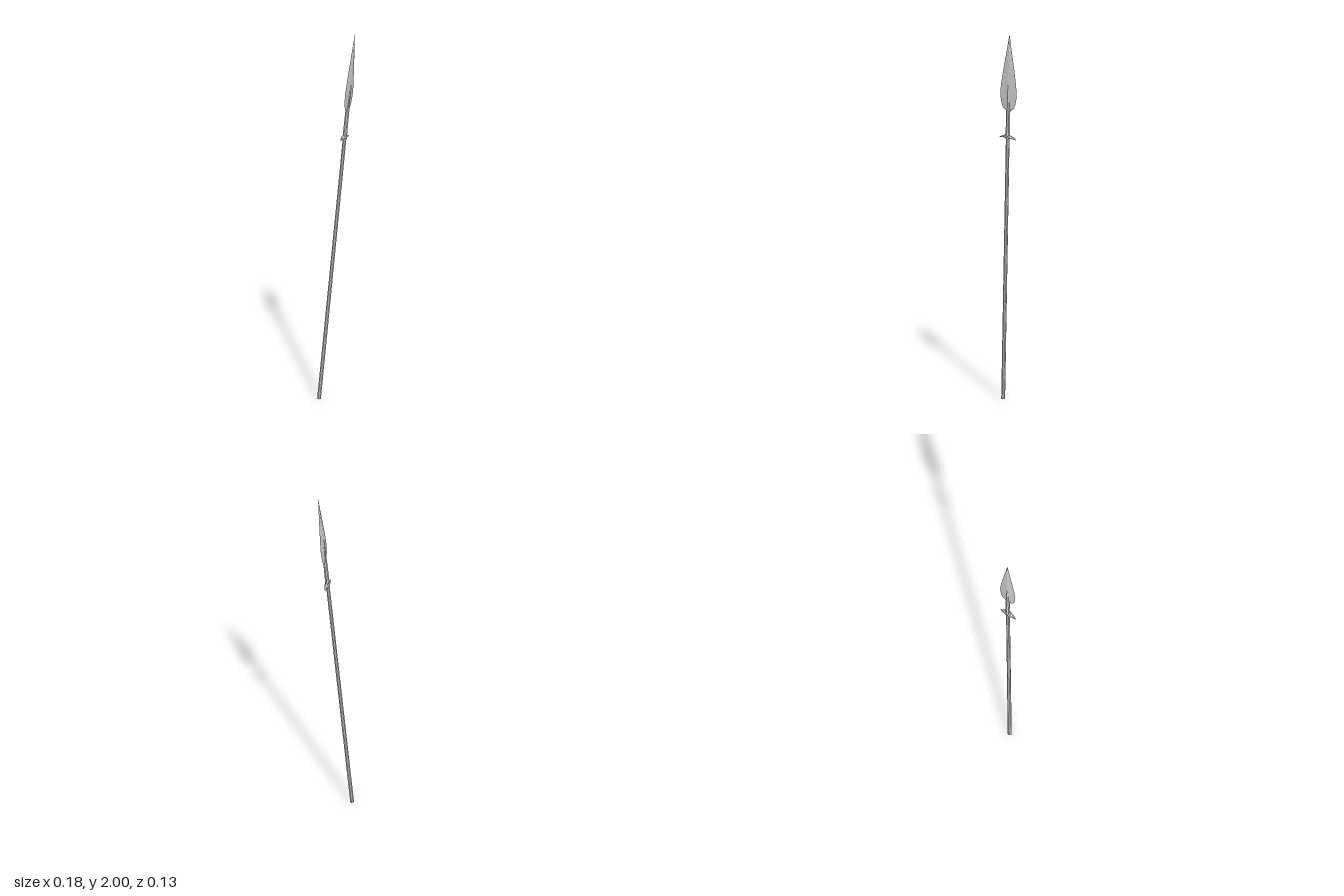
import * as THREE from 'three';

const material = new THREE.MeshStandardMaterial({ color: 0xcccccc, flatShading: true });

function addMesh(parent, name, geometry) {
  const mesh = new THREE.Mesh(geometry, material);
  mesh.name = name;
  parent.add(mesh);
  return mesh;
}

// Lofts a ring along y through rows of [y, half width (x), half depth (z), x offset]
function loft(rows, sides) {
  const geometry = new THREE.CylinderGeometry(1, 1, rows.length - 1, sides, rows.length - 1);
  const p = geometry.attributes.position;
  for (let i = 0; i < p.count; i++) {
    const row = rows[Math.round(p.getY(i) + (rows.length - 1) / 2)];
    p.setXYZ(i, p.getX(i) * row[1] + (row[3] || 0), row[0], p.getZ(i) * row[2]);
  }
  geometry.computeVertexNormals();
  return geometry;
}

export function createModel() {
  const spear = new THREE.Group();
  spear.name = 'spear';

  // Shaft and the socket that tapers into the blade
  addMesh(spear, 'shaft', loft([[0, 0.0105, 0.0105], [1.45, 0.01, 0.01]], 8));
  addMesh(spear, 'socket', loft([
    [1.435, 0.0125, 0.0125], [1.46, 0.012, 0.012], [1.6, 0.011, 0.011],
    [1.7, 0.007, 0.009], [1.79, 0.001, 0.002],
  ], 8));

  // Leaf-shaped blade with a diamond section
  addMesh(spear, 'blade', loft([
    [1.592, 0.018, 0.002], [1.602, 0.031, 0.004], [1.625, 0.041, 0.005],
    [1.66, 0.047, 0.006], [1.695, 0.048, 0.006], [1.74, 0.043, 0.006],
    [1.81, 0.033, 0.005], [1.9, 0.018, 0.004], [2.007, 0.0005, 0.0005],
  ], 4));

  // Lug wings: a pointed crossbar whose ends sweep upward
  const rows = [];
  for (let i = -4; i <= 4; i++) {
    const t = i / 4;
    const taper = 1 - t * t;
    rows.push([t * 0.049, 0.001 + 0.007 * taper, 0.001 + 0.0125 * taper, -0.012 * t * t]);
  }
  const guard = addMesh(spear, 'guard', loft(rows, 6));
  guard.rotation.z = -Math.PI / 2;
  guard.position.y = 1.447;
  guard.scale.x = -1;
  guard.geometry.scale(-1, 1, -1);
  guard.scale.x = 1;

  // Lean the spear and turn the blade's flat toward the side
  const yAxis = new THREE.Vector3(0.168, 2, -0.09).normalize();
  const xAxis = new THREE.Vector3(0.19, 0, -0.98);
  xAxis.addScaledVector(yAxis, -xAxis.dot(yAxis)).normalize();
  const zAxis = new THREE.Vector3().crossVectors(xAxis, yAxis);
  spear.quaternion.setFromRotationMatrix(new THREE.Matrix4().makeBasis(xAxis, yAxis, zAxis));
  spear.position.set(-0.081, 0.001, 0.054);

  const model = new THREE.Group();
  model.name = 'leaningSpear';
  model.add(spear);
  return model;
}
